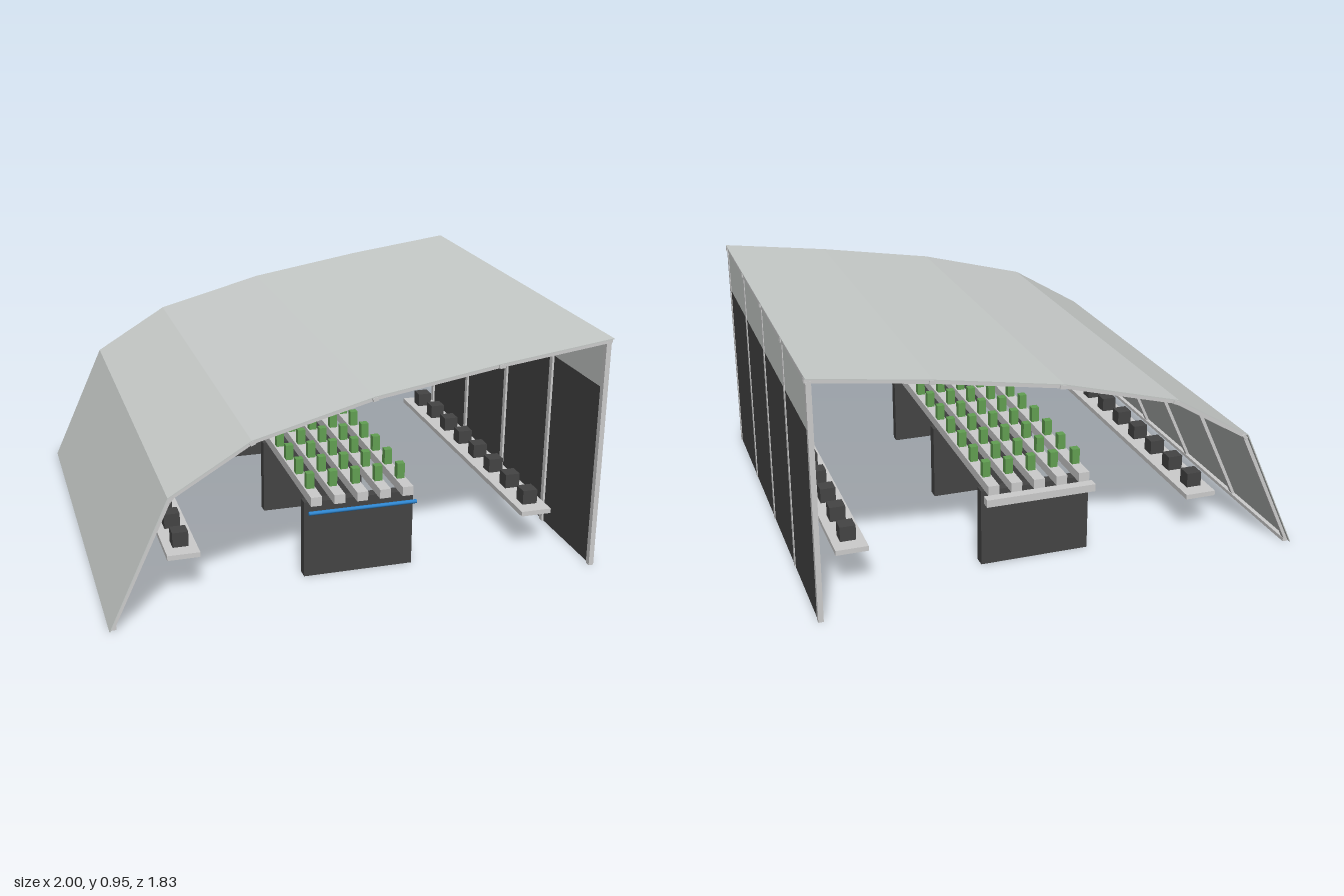
import * as THREE from 'three';

const mat = (name, color, side = THREE.FrontSide) => {
  const m = new THREE.MeshStandardMaterial({ color, side });
  m.name = name;
  return m;
};

export function createModel() {
  const sheet = mat('pale sheet', 0xc8ccca, THREE.DoubleSide);
  const frame = mat('light metal', 0xcccccc);
  const dark = mat('dark grey', 0x444444);
  const green = mat('leaf green', 0x62a052);
  const blue = mat('water blue', 0x2f86d0);

  const model = new THREE.Group();
  model.name = 'growingShelter';
  model.rotation.y = 0.034; // the whole building stands slightly turned

  const group = (name) => {
    const g = new THREE.Group();
    g.name = name;
    model.add(g);
    return g;
  };
  // Box with its underside at y
  const box = (parent, name, material, w, h, d, x, y, z) => {
    const m = new THREE.Mesh(new THREE.BoxGeometry(w, h, d), material);
    m.position.set(x, y + h / 2, z);
    m.name = name;
    parent.add(m);
    return m;
  };

  // Roof profile, from the foot of the sloping side up to the tall wall
  const profile = [
    [-0.967, 0.015], [-0.738, 0.517], [-0.43, 0.702],
    [0.03, 0.823], [0.52, 0.903], [0.967, 0.962],
  ].map(([x, y]) => new THREE.Vector2(x, y));

  // Profile moved inwards by t along mitred normals
  const offset = (t) => profile.map((p, i) => {
    const dirs = [];
    if (i > 0) dirs.push(p.clone().sub(profile[i - 1]).normalize());
    if (i < profile.length - 1) dirs.push(profile[i + 1].clone().sub(p).normalize());
    const dir = dirs.reduce((a, b) => a.clone().add(b)).normalize();
    const k = t / dir.dot(dirs[0]);
    return new THREE.Vector2(p.x + dir.y * k, Math.max(0.015, p.y - dir.x * k));
  });
  const strip = (parent, name, material, t0, t1, depth, z) => {
    const shape = new THREE.Shape([...offset(t1), ...offset(t0).reverse()]);
    const geo = new THREE.ExtrudeGeometry(shape, { depth, bevelEnabled: false });
    geo.translate(0, 0, z - depth / 2);
    const m = new THREE.Mesh(geo, material);
    m.name = name;
    parent.add(m);
  };

  // Roof sheet, ribs and lengthwise purlins
  const bays = [-0.862, -0.431, 0, 0.431, 0.862];
  const roof = group('roof');
  strip(roof, 'roofSheet', sheet, 0, 0.004, 1.77, 0);
  for (const z of bays) strip(roof, 'roofRib', frame, 0.005, 0.02, 0.022, z);
  offset(0.014).slice(1, -1).forEach((p, i) => {
    const a = profile[i + 2].clone().sub(profile[i]).angle();
    const m = box(roof, 'purlin', frame, 0.022, 0.014, 1.762, p.x, p.y - 0.007, 0);
    m.rotation.z = a;
  });
  box(roof, 'eaveBeam', frame, 0.018, 0.018, 1.745, 0.955, 0.937, 0);
  box(roof, 'footRail', frame, 0.018, 0.014, 1.745, -0.948, 0.015, 0);

  // Tall wall: posts, dark lower panels and a pale band above
  const wall = group('tallWall');
  for (const z of bays) box(wall, 'wallPost', frame, 0.02, 0.93, 0.024, 0.954, 0.015, z);
  for (let i = 0; i < 4; i++) {
    const z = (bays[i] + bays[i + 1]) / 2;
    box(wall, 'lowerPanel', dark, 0.008, 0.74, 0.407, 0.957, 0.015, z);
    box(wall, 'upperPanel', sheet, 0.008, 0.197, 0.407, 0.957, 0.755, z);
  }

  // Side shelves with a row of dark pots
  for (const x of [-0.652, 0.79]) {
    const shelf = group('sideShelf');
    box(shelf, 'shelfBoard', frame, 0.127, 0.02, 1.39, x, 0.175, 0);
    for (let i = 0; i < 8; i++) {
      box(shelf, 'pot', dark, 0.062, 0.06, 0.062, x, 0.195, -0.6 + i * 1.2 / 7);
    }
  }

  // Central growing bench: legs, channels and plants
  const bench = group('growingBench');
  const cx = 0.05;
  for (const z of [-0.635, 0, 0.635]) {
    box(bench, 'benchLeg', dark, 0.444, 0.315, 0.045, cx, 0.015, z);
  }
  for (let r = -2; r <= 2; r++) {
    const x = cx + r * 0.0925;
    box(bench, 'channel', frame, 0.044, 0.037, 1.4, x, 0.33, 0);
    for (let i = -4; i <= 4; i++) {
      box(bench, 'plant', green, 0.031, 0.063, 0.031, x, 0.367, i * 0.15);
    }
  }

  // Supply pipe in front, collecting gutter behind
  const pipe = new THREE.Mesh(new THREE.CylinderGeometry(0.008, 0.008, 0.436, 10), blue);
  pipe.rotation.z = Math.PI / 2;
  pipe.position.set(cx + 0.002, 0.302, 0.7);
  pipe.name = 'supplyPipe';
  bench.add(pipe);
  box(bench, 'drainGutter', frame, 0.444, 0.03, 0.04, cx, 0.295, -0.71);

  const root = new THREE.Group();
  root.name = 'shelterRoot';
  root.add(model);
  return root;
}
